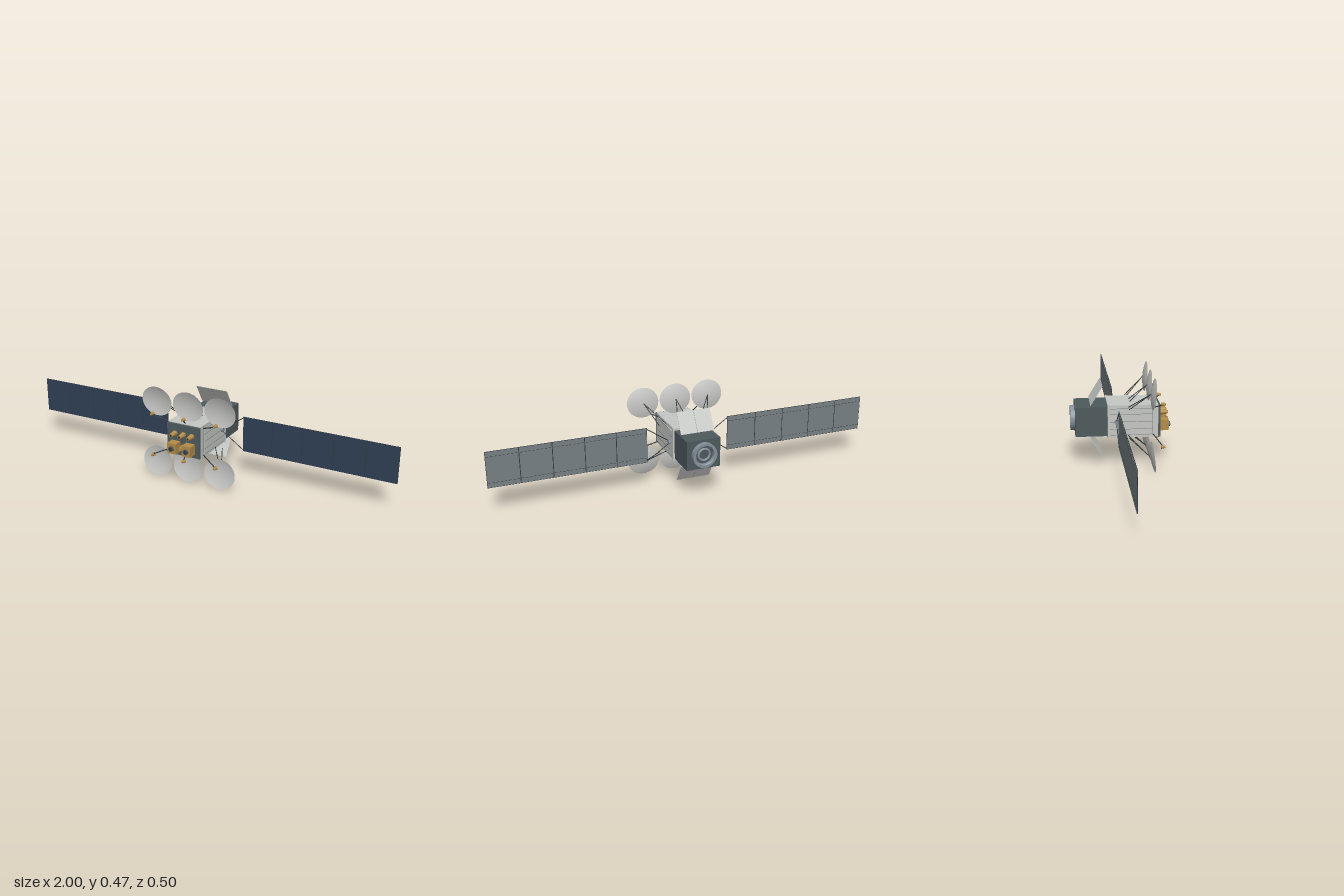
import * as THREE from 'three';

const mat = (name, color, side = THREE.FrontSide) => {
  const m = new THREE.MeshStandardMaterial({ color, side });
  m.name = name;
  return m;
};

export function createModel() {
  const light = mat('light grey', 0xc6c8c5);
  const dish = mat('dish grey', 0xc6c6c4, THREE.DoubleSide);
  const dark = mat('dark slate', 0x4e595d);
  const gold = mat('bronze', 0xb48c48);
  const navy = mat('cell navy', 0x2f3f56);
  const back = mat('panel back grey', 0x778085);
  const black = mat('strut charcoal', 0x34393b);
  const steel = mat('ring steel', 0x84909a, THREE.DoubleSide);
  const seam = mat('seam grey', 0x7f8587);

  const CY = 0.2365; // height of the long axis
  const root = new THREE.Group();
  root.name = 'satellite';

  const add = (name, geo, m, x = 0, y = 0, z = 0, parent = root) => {
    const mesh = new THREE.Mesh(geo, m);
    mesh.name = name;
    mesh.position.set(x, y, z);
    parent.add(mesh);
    return mesh;
  };
  const box = (name, m, w, h, d, x, y, z, parent) =>
    add(name, new THREE.BoxGeometry(w, h, d), m, x, y, z, parent);
  // cylinder or cone lying along z, rf = radius at the +z end
  const zCyl = (name, m, rf, rb, len, x, y, z, seg = 20) => {
    const g = new THREE.CylinderGeometry(rf, rb, len, seg).rotateX(Math.PI / 2);
    return add(name, g, m, x, y, z);
  };
  const rod = (name, m, a, b, r) => {
    const A = new THREE.Vector3(...a), B = new THREE.Vector3(...b);
    const d = B.clone().sub(A);
    const mesh = add(name, new THREE.CylinderGeometry(r, r, d.length(), 8), m);
    mesh.position.copy(A).add(B).multiplyScalar(0.5);
    mesh.quaternion.setFromUnitVectors(new THREE.Vector3(0, 1, 0), d.normalize());
    return mesh;
  };

  // main bus, front deck, collar and rear module
  box('bus', light, 0.18, 0.166, 0.249, 0, CY, 0.0595);
  box('frontDeck', dark, 0.18, 0.159, 0.011, 0, CY, 0.1895);
  box('collar', light, 0.192, 0.17, 0.009, 0, CY, -0.0625);
  box('rearModule', dark, 0.174, 0.149, 0.161, 0, CY, -0.1455);

  // side radiators with raised heat pipes
  for (const s of [-1, 1]) {
    box('sideRadiator', light, 0.005, 0.134, 0.213, s * 0.0925, CY, 0.0485);
    for (let i = -2; i <= 2; i++) {
      const y = CY + i * (Math.abs(i) === 2 ? 0.0335 : 0.038);
      box('heatPipe', seam, 0.002, 0.002, 0.21, s * 0.0955, y, 0.049);
    }
    box('radiatorEdge', seam, 0.001, 0.164, 0.002, s * 0.0902, CY, 0.156);
  }

  // hollow engine ring at the rear
  const ringProfile = [
    [0.046, 0], [0.046, 0.018], [0.05, 0.022], [0.0625, 0.022], [0.0625, 0],
  ].map(p => new THREE.Vector2(...p));
  const ring = add('engineRing', new THREE.LatheGeometry(ringProfile, 40).toNonIndexed(), steel, 0, CY, -0.226);
  ring.geometry.computeVertexNormals();
  ring.rotation.x = -Math.PI / 2;
  zCyl('engineWell', dark, 0.046, 0.046, 0.004, 0, CY, -0.227, 32);
  const inner = add('innerRing', new THREE.TorusGeometry(0.029, 0.006, 10, 32), steel, 0, CY, -0.231);
  inner.scale.z = 1.2;

  // instruments on the front deck
  for (const x of [-0.047, 0, 0.047]) {
    zCyl('feedHorn', gold, 0.009, 0.014, 0.041, x, CY + 0.031, 0.2155);
    zCyl('hornMouth', black, 0.006, 0.006, 0.001, x, CY + 0.031, 0.2363);
  }
  for (const x of [-0.0405, 0.0405]) {
    box('instrumentBox', gold, 0.047, 0.054, 0.046, x, CY - 0.033, 0.218);
    zCyl('instrumentLens', dark, 0.0135, 0.0135, 0.009, x, CY - 0.033, 0.2455);
    zCyl('lensGlass', black, 0.009, 0.009, 0.001, x, CY - 0.033, 0.2503);
  }
  zCyl('centreHorn', gold, 0.009, 0.014, 0.036, 0, CY - 0.033, 0.213);

  // shallow reflector, opening toward +z
  const bowl = [];
  for (let i = 0; i <= 8; i++) {
    const t = i / 8;
    bowl.push(new THREE.Vector2(Math.max(t, 0.0001) * 0.0835, 0.013 * (t * t - 1)));
  }
  const bowlGeo = new THREE.LatheGeometry(bowl, 40).rotateX(Math.PI / 2).scale(1, 0.92, 1);

  // dishes, struts and feeds, mirrored above and below
  for (const v of [-1, 1]) {
    for (const c of [-1, 0, 1]) {
      const x = c * 0.1745;
      const d = add('reflector', bowlGeo, dish, x, CY + v * 0.159, 0.1495);
      d.rotation.x = v * 0.1;
      const feet = c === 0 ? [-0.028, 0.028] : [c * 0.13, c * 0.09];
      for (const fx of feet)
        rod('reflectorStrut', black, [x, CY + v * 0.159, 0.135], [fx, CY + v * 0.072, 0.035], 0.0022);
      rod('feedBoom', black, [c * 0.088, CY + v * 0.068, 0.158], [x, CY + v * 0.105, 0.196], 0.0028);
      zCyl('reflectorFeed', gold, 0.0055, 0.0095, 0.021, x, CY + v * 0.109, 0.198);
    }

    // twin-leaf radiator flap leaning forward beside the rear module
    const flap = new THREE.Group();
    flap.name = 'rearFlap';
    flap.position.set(0, CY + v * 0.1315, -0.1215);
    flap.rotation.x = v * 0.551;
    root.add(flap);
    for (const s of [-1, 1]) box('flapLeaf', light, 0.086, 0.113, 0.002, s * 0.0438, 0, 0, flap);
    box('flapSeam', seam, 0.0016, 0.113, 0.0016, 0, 0, 0, flap);
  }

  // solar wings: five panels a side
  const PW = 0.157, PH = 0.183, Z = -0.023;
  for (const s of [-1, 1]) {
    const hub = add('wingHub', new THREE.CylinderGeometry(0.011, 0.011, 0.016, 20), steel, s * 0.097, CY, Z);
    hub.rotation.z = Math.PI / 2;
    for (const v of [-1, 1])
      rod('wingYoke', black, [s * 0.1, CY + v * 0.006, Z], [s * 0.217, CY + v * 0.086, Z], 0.0022);
    for (let i = 0; i < 5; i++) {
      const x = s * (0.215 + PW * (i + 0.5));
      box('panelCore', black, PW, PH, 0.002, x, CY, Z);
      box('solarCells', navy, PW - 0.003, PH - 0.002, 0.001, x, CY, Z + 0.0015);
      box('panelBack', back, PW - 0.004, PH - 0.004, 0.001, x, CY, Z - 0.0015);
      // dashed stiffeners on the rear
      for (const v of [-1, 1])
        for (let k = 0; k < 8; k++)
          box('stiffener', black, 0.011, 0.002, 0.001, x + (k - 3.5) * 0.0193, CY + v * 0.066, Z - 0.0022);
    }
  }
  return root;
}
